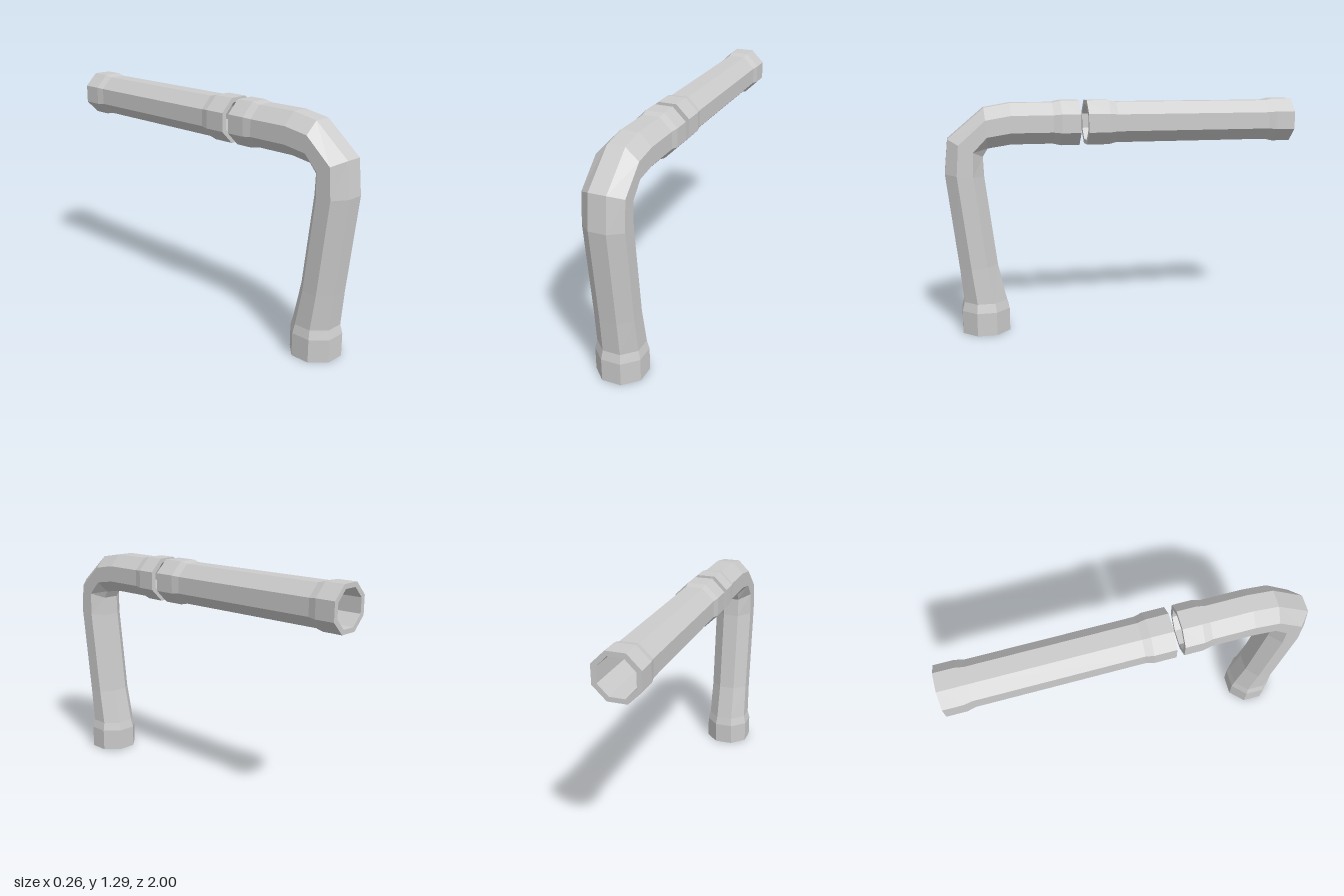
import * as THREE from 'three';

const SIDES = 8;
const BORE = 0.098; // half width of the hollow inside

// One octagonal ring. A section holds the two opposite side-view edges
// (outer z, y and inner z, y) and the half width across x.
function ring([z1, y1, z2, y2, hx], bore) {
  const cz = (z1 + z2) / 2, cy = (y1 + y2) / 2;
  const dz = (z1 - z2) / 2, dy = (y1 - y2) / 2;
  const r = 1 / Math.cos(Math.PI / SIDES);
  const sx = bore ? BORE : hx;
  const sd = bore ? BORE / Math.hypot(dz, dy) : 1;
  return Array.from({ length: SIDES }, (_, k) => {
    const a = ((k + 0.5) / SIDES) * Math.PI * 2;
    const c = Math.cos(a) * r, s = Math.sin(a) * r * sd;
    return [c * sx, cy + dy * s, cz + dz * s];
  });
}

// Hollow pipe: outer skin forward, bore backward, rims closing both ends
function pipe(name, sections, material) {
  const outer = sections.map((s) => ring(s, false));
  const inner = sections.map((s) => ring(s, true)).reverse();
  const rings = [...outer, ...inner];
  const positions = rings.flat(2);
  const index = [];
  for (let i = 0; i < rings.length; i++) {
    const j = (i + 1) % rings.length;
    for (let k = 0; k < SIDES; k++) {
      const n = (k + 1) % SIDES;
      const a = i * SIDES + k, b = i * SIDES + n;
      const c = j * SIDES + n, d = j * SIDES + k;
      index.push(a, b, c, a, c, d);
    }
  }
  const indexed = new THREE.BufferGeometry();
  indexed.setAttribute('position', new THREE.Float32BufferAttribute(positions, 3));
  indexed.setIndex(index);
  const geometry = indexed.toNonIndexed();
  geometry.computeVertexNormals();
  const mesh = new THREE.Mesh(geometry, material);
  mesh.name = name;
  return mesh;
}

// Section of a horizontal run at depth z
const AXIS_Y = 1.172;
const level = (z, h) => [z, AXIS_Y + h, z, AXIS_Y - h, h + 0.002];

export function createModel() {
  const group = new THREE.Group();
  group.name = 'pipes';
  const material = new THREE.MeshStandardMaterial({ color: 0xcccccc, flatShading: true });

  // Straight pipe with a collar at each end
  group.add(pipe('straightPipe', [
    level(-1, 0.123), level(-0.89, 0.123), level(-0.845, 0.113),
    level(0.05, 0.113), level(0.095, 0.123), level(0.217, 0.123),
  ], material));

  // Elbow pipe: horizontal collar, bend, leaning leg, foot collar
  group.add(pipe('elbowPipe', [
    level(0.26, 0.123), level(0.365, 0.123), level(0.41, 0.113), level(0.64, 0.113),
    [0.783, 1.26, 0.767, 1.04, 0.115],
    [0.98, 1.094, 0.794, 0.996, 0.115],
    [1.0, 0.905, 0.79, 0.885, 0.115],
    [0.94, 0.375, 0.731, 0.39, 0.115],
    [0.922, 0.18, 0.686, 0.18, 0.12],
    [0.935, 0.13, 0.673, 0.13, 0.132],
    [0.935, 0, 0.673, 0, 0.132],
  ], material));

  return group;
}
